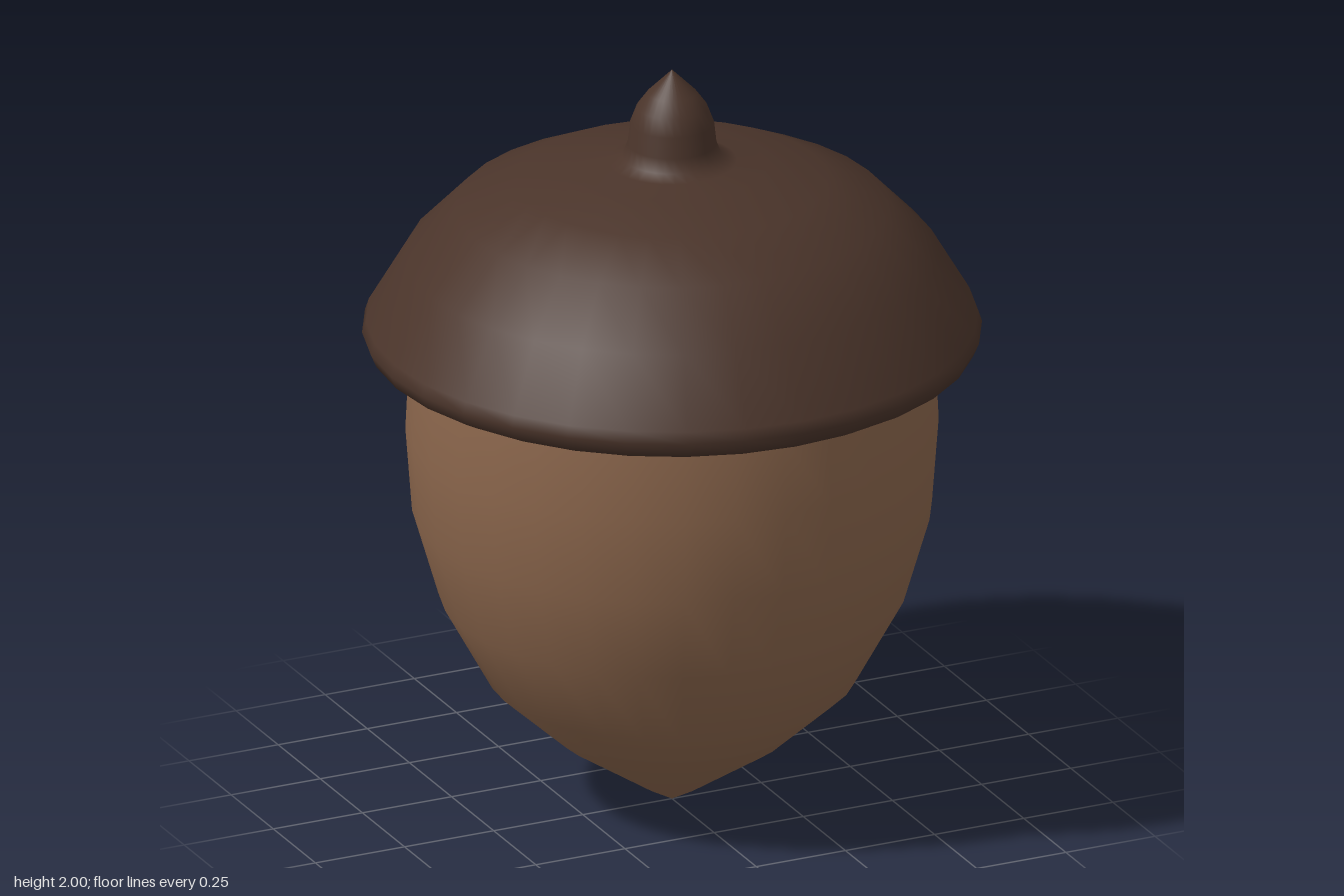
import * as THREE from 'three';

const nutBrown = new THREE.MeshStandardMaterial({ color: 0x8b664c });
nutBrown.name = 'nutBrown';
const capBrown = new THREE.MeshStandardMaterial({ color: 0x4a342a });
capBrown.name = 'capBrown';

// Turned part from a bottom-to-top profile of [radius, height]
function turned(name, profile, material) {
  const points = profile.map(([r, y]) => new THREE.Vector2(r, y));
  const mesh = new THREE.Mesh(new THREE.LatheGeometry(points, 32), material);
  mesh.name = name;
  return mesh;
}

export function createModel() {
  const acorn = new THREE.Group();
  acorn.name = 'acorn';

  // Pointed nut, its top hidden inside the cap
  acorn.add(turned('nut', [
    [0, 0], [0.07, 0.04], [0.295, 0.19], [0.47, 0.35], [0.593, 0.575],
    [0.66, 0.805], [0.677, 1.03], [0.667, 1.235], [0.65, 1.3],
  ], nutBrown));

  // Cap: underside, rounded rim, dome and pointed stem in one sweep
  acorn.add(turned('cap', [
    [0.64, 1.25], [0.68, 1.24], [0.735, 1.24], [0.772, 1.26], [0.787, 1.295],
    [0.777, 1.325], [0.677, 1.495], [0.55, 1.627], [0.397, 1.7],
    [0.24, 1.738], [0.165, 1.752], [0.127, 1.765], [0.113, 1.8],
    [0.107, 1.855], [0.09, 1.9], [0.063, 1.937], [0, 2],
  ], capBrown));

  return acorn;
}
